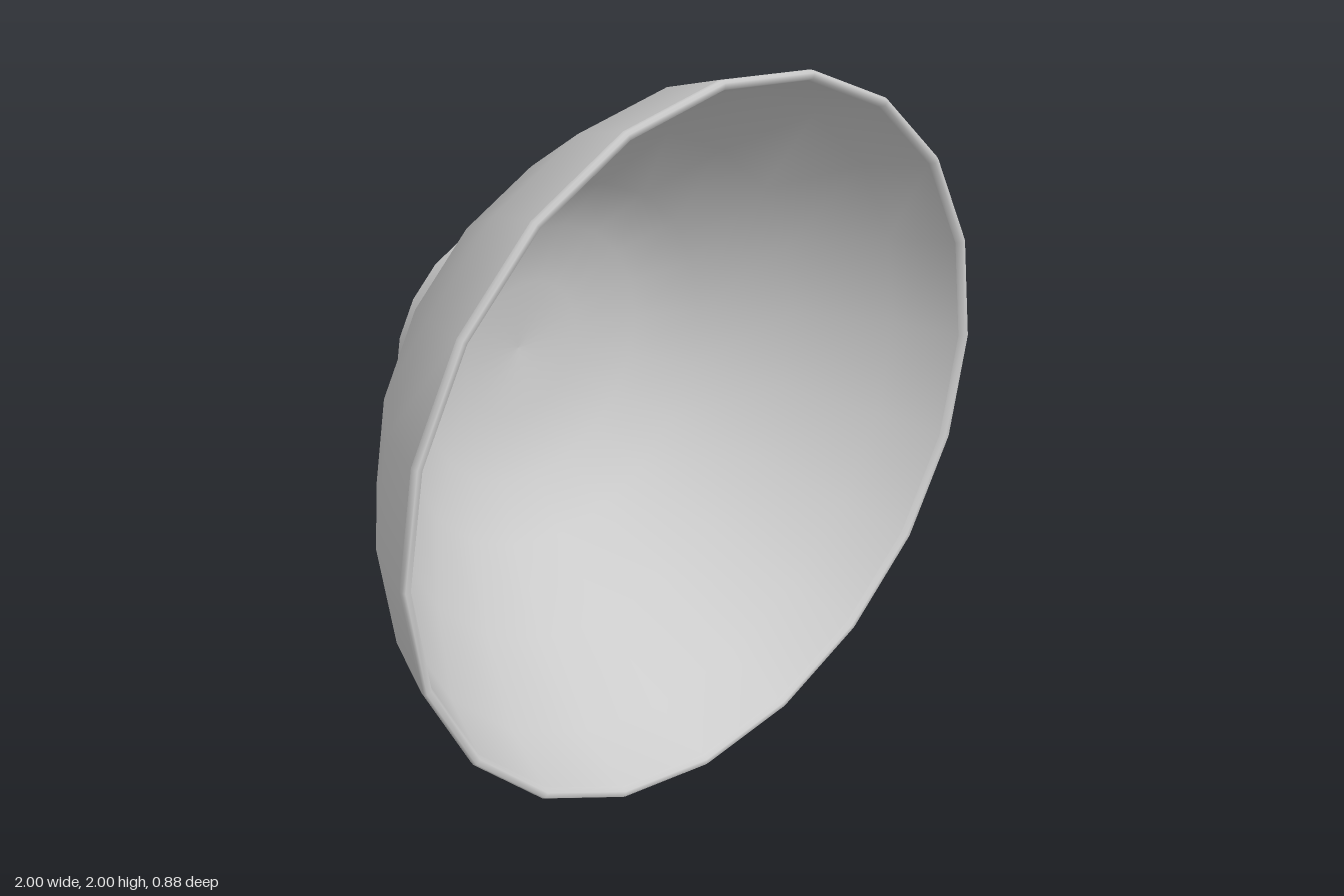
import * as THREE from 'three';

const SIDES = 20;

export function createModel() {
  const model = new THREE.Group();
  model.name = 'bowl';
  const material = new THREE.MeshStandardMaterial({ color: 0xcccccc });

  // Each profile is a list of [radius, height along the bowl's axis]
  function addLathe(name, profile) {
    const points = profile.map(([r, h]) => new THREE.Vector2(r, h));
    const geometry = new THREE.LatheGeometry(points, SIDES);
    geometry.rotateX(Math.PI / 2); // opening faces the front
    geometry.translate(0, 1, 0);
    const mesh = new THREE.Mesh(geometry, material);
    mesh.name = name;
    model.add(mesh);
  }

  // Recessed underside inside the foot ring
  addLathe('footRecess', [[0, -0.39], [0.3, -0.39]]);

  // Foot ring, from the recess wall over its edge to the body
  addLathe('footRing', [
    [0.3, -0.39], [0.315, -0.43], [0.325, -0.44], [0.35, -0.44],
    [0.358, -0.435], [0.378, -0.33], [0.4, -0.305],
  ]);

  // Outer wall
  addLathe('outerWall', [
    [0.4, -0.305], [0.55, -0.2], [0.75, 0], [0.93, 0.24], [0.998, 0.42],
  ]);

  // Narrow rounded rim
  addLathe('rim', [
    [0.998, 0.42], [1, 0.432], [0.995, 0.44], [0.98, 0.44], [0.972, 0.425],
  ]);

  // Inner wall and floor
  addLathe('innerWall', [
    [0.972, 0.425], [0.9, 0.245], [0.725, 0.015], [0.53, -0.175],
    [0.38, -0.28], [0.2, -0.33], [0, -0.345],
  ]);

  return model;
}
